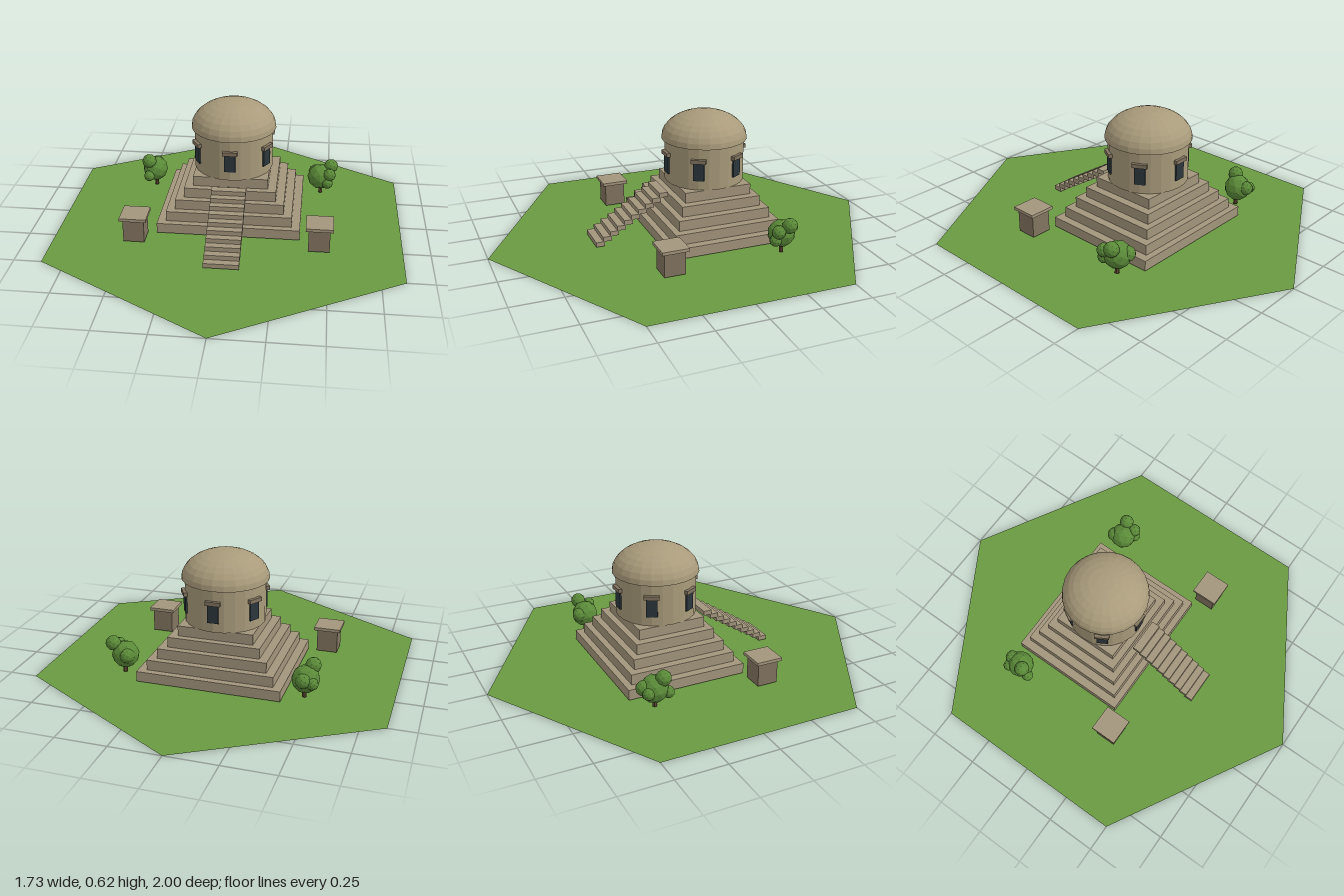
import * as THREE from 'three';

const mat = (name, color, extra = {}) => {
  const m = new THREE.MeshStandardMaterial({ color, ...extra });
  m.name = name;
  return m;
};

export function createModel() {
  const model = new THREE.Group();
  model.name = 'hilltopTemple';

  const grass = mat('grass', 0x6a9a42, { side: THREE.DoubleSide });
  const stone = mat('stone', 0xa3957c);
  const plaster = mat('plaster', 0xa99b7b, { flatShading: true });
  const darkStone = mat('darkStone', 0x82745f);
  const glass = mat('windowDark', 0x2b363c);
  const leaf = mat('leaf', 0x5a8a38, { flatShading: true });
  const bark = mat('bark', 0x5c4630, { flatShading: true });

  const add = (parent, name, geo, material, x = 0, y = 0, z = 0) => {
    const mesh = new THREE.Mesh(geo, material);
    mesh.name = name;
    mesh.position.set(x, y, z);
    parent.add(mesh);
    return mesh;
  };
  const box = (parent, name, material, w, h, d, x, y, z) =>
    add(parent, name, new THREE.BoxGeometry(w, h, d), material, x, y, z);

  const BASE = 0.01;
  const CZ = -0.117;

  // Hexagonal lawn with corners on the z axis
  const lawn = add(model, 'lawn', new THREE.CircleGeometry(1, 6, Math.PI / 2), grass);
  lawn.rotation.x = -Math.PI / 2;

  // Five stepped tiers
  const tierH = 0.052;
  for (let i = 0; i < 5; i++) {
    box(model, 'tier' + (i + 1), stone, 2 * (0.359 - 0.0425 * i), tierH,
      2 * (0.306 - 0.033 * i), 0, BASE + tierH * (i + 0.5), CZ);
  }

  // Free-standing staircase of overlapping slabs
  const stairs = new THREE.Group();
  stairs.name = 'stairs';
  model.add(stairs);
  for (let i = 0; i < 10; i++) {
    box(stairs, 'step' + (i + 1), stone, 0.172, 0.0236, 0.044,
      0, BASE + 0.0236 * (i + 0.5), 0.464 - 0.0368 * i);
  }

  // Round chamber and flattened dome
  const chamber = new THREE.Group();
  chamber.name = 'chamber';
  chamber.position.z = CZ;
  model.add(chamber);
  add(chamber, 'drum', new THREE.CylinderGeometry(0.2, 0.2, 0.215, 24), plaster, 0, 0.3775, 0);
  const dome = add(chamber, 'dome',
    new THREE.SphereGeometry(0.216, 24, 8, 0, Math.PI * 2, 0, Math.PI / 2), plaster, 0, 0.483, 0);
  dome.scale.y = 0.64;
  const soffit = add(chamber, 'domeUnderside', new THREE.CircleGeometry(0.216, 24), plaster, 0, 0.483, 0);
  soffit.rotation.x = Math.PI / 2;

  // Six windows with lintels around the drum
  for (let i = 0; i < 6; i++) {
    const bay = new THREE.Group();
    bay.name = 'windowBay' + (i + 1);
    bay.rotation.y = (i * Math.PI) / 3;
    chamber.add(bay);
    box(bay, 'window', glass, 0.055, 0.092, 0.009, 0, 0.364, 0.2);
    box(bay, 'lintel', darkStone, 0.074, 0.02, 0.025, 0, 0.419, 0.202);
  }

  // Foliage clumps per tree: x, y, z, radius
  const clumps = {
    '-1': [[-0.46, 0.105, -0.34, 0.068], [-0.487, 0.163, -0.305, 0.039],
      [-0.458, 0.118, -0.393, 0.037], [-0.5, 0.105, -0.385, 0.03], [-0.485, 0.085, -0.28, 0.03]],
    '1': [[0.45, 0.105, -0.335, 0.068], [0.507, 0.163, -0.35, 0.038],
      [0.5, 0.135, -0.295, 0.034], [0.425, 0.115, -0.375, 0.038], [0.49, 0.09, -0.285, 0.03]],
  };

  for (const s of [-1, 1]) {
    // Pedestals beside the stairs
    const pedestal = new THREE.Group();
    pedestal.name = s > 0 ? 'leftPedestal' : 'rightPedestal';
    pedestal.position.set(s * 0.457, 0, 0.236);
    model.add(pedestal);
    box(pedestal, 'pedestalBody', darkStone, 0.105, 0.118, 0.105, 0, BASE + 0.059, 0);
    box(pedestal, 'pedestalCap', stone, 0.134, 0.016, 0.134, 0, 0.136, 0);

    // Trees behind
    const tree = new THREE.Group();
    tree.name = s > 0 ? 'leftTree' : 'rightTree';
    model.add(tree);
    add(tree, 'trunk', new THREE.CylinderGeometry(0.009, 0.012, 0.07, 6), bark, s * 0.455, 0.045, -0.335);
    for (const [x, y, z, r] of clumps[s]) {
      add(tree, 'foliage', new THREE.IcosahedronGeometry(r, 1), leaf, x, y, z);
    }
  }
  return model;
}
